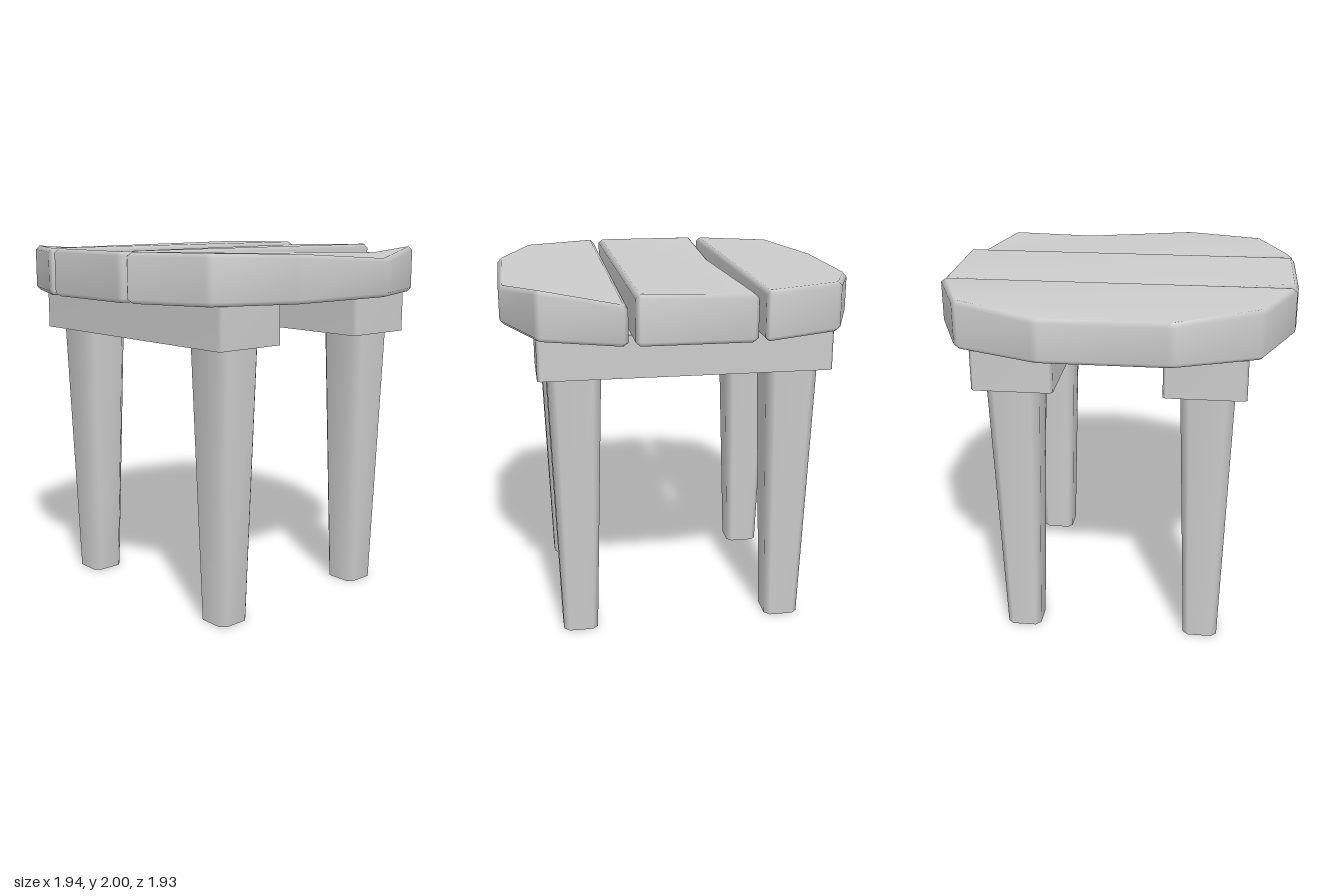
import * as THREE from 'three';

const material = new THREE.MeshStandardMaterial({ color: 0xcccccc });

// Outline ring, inset by `inset`, each corner cut by `cut` along both edges.
// Points are [x, z, topDrop, bottomDrop], counter-clockwise seen from above.
function ring(outline, inset, cut, height) {
  const n = outline.length, result = [];
  const at = (i) => new THREE.Vector2(outline[(i + n) % n][0], -outline[(i + n) % n][1]);
  for (let i = 0; i < n; i++) {
    const p = at(i);
    const d1 = p.clone().sub(at(i - 1)).normalize();
    const d2 = at(i + 1).sub(p).normalize();
    const n1 = new THREE.Vector2(-d1.y, d1.x), n2 = new THREE.Vector2(-d2.y, d2.x);
    const q = p.clone().addScaledVector(n1.clone().add(n2), inset / (1 + n1.dot(n2)));
    const y = height(outline[i]);
    for (const v of [q.clone().addScaledVector(d1, -cut), q.clone().addScaledVector(d2, cut)]) {
      result.push(new THREE.Vector3(v.x, y, -v.y));
    }
  }
  return result;
}

// Closed solid through rings from bottom to top; hard caps get their own vertices
function loft(rings, hardCaps) {
  const n = rings[0].length, last = rings.length - 1;
  const points = rings.flat(), index = [];
  for (let k = 0; k < last; k++) {
    for (let i = 0; i < n; i++) {
      const a = k * n + i, b = k * n + (i + 1) % n;
      index.push(a, b, b + n, a, b + n, a + n);
    }
  }
  for (const [k, top] of [[0, false], [last, true]]) {
    let start = k * n;
    if (hardCaps) {
      start = points.length;
      points.push(...rings[k]);
    }
    const flat = rings[k].map((p) => new THREE.Vector2(p.x, -p.z));
    for (const [a, b, c] of THREE.ShapeUtils.triangulateShape(flat, [])) {
      index.push(start + a, start + (top ? b : c), start + (top ? c : b));
    }
  }
  const geometry = new THREE.BufferGeometry().setFromPoints(points);
  geometry.setIndex(index);
  geometry.computeVertexNormals();
  return geometry;
}

function addMesh(group, name, geometry) {
  const mesh = new THREE.Mesh(geometry, material);
  mesh.name = name;
  group.add(mesh);
  return mesh;
}

// Seat board with softened edges and slightly uneven corners
function plank(outline) {
  const b = 0.022;
  const top = (p) => 2 - (p[2] || 0), bottom = (p) => 1.74 - (p[3] || 0);
  return loft([
    ring(outline, b, b * 0.4, bottom),
    ring(outline, 0, b, (p) => bottom(p) + b),
    ring(outline, 0, b, (p) => top(p) - b),
    ring(outline, b, b * 0.4, top),
  ], false);
}

const rectangle = (w, d) => [[-w, d], [w, d], [w, -d], [-w, -d]];

export function createModel() {
  const stool = new THREE.Group();
  stool.name = 'stool';

  // Seat boards
  addMesh(stool, 'frontPlank', plank([
    [-0.97, 0.34], [-0.79, 0.785, 0.0], [-0.34, 0.965, 0.01],
    [0.34, 0.965, 0.05], [0.79, 0.785], [0.97, 0.34, 0.05],
  ]));
  addMesh(stool, 'middlePlank', plank([
    [-0.97, 0.305], [0.97, 0.305], [0.97, -0.315, 0.015], [-0.3, -0.315, 0.045, 0.04], [-0.97, -0.315],
  ]));
  addMesh(stool, 'backPlank', plank([
    [0.97, -0.35], [0.79, -0.79], [0.34, -0.968, 0.03],
    [-0.34, -0.968, 0.03], [-0.79, -0.79], [-0.97, -0.35],
  ]));

  // Rails under the seat and tapered legs with cut corners
  const rail = loft([1.515, 1.745].map((y) => ring(rectangle(0.217, 0.787), 0, 0.016, () => y)), true);
  const leg = loft([[0, 0.097, 0.03], [1.53, 0.144, 0.045]].map(
    ([y, half, cut]) => ring(rectangle(half, half), 0, cut, () => y)), true);
  for (const [side, x] of [['Left', 0.503], ['Right', -0.503]]) {
    addMesh(stool, 'rail' + side, rail).position.x = x;
    for (const [end, z] of [['front', 0.592], ['back', -0.587]]) {
      addMesh(stool, end + 'Leg' + side, leg).position.set(x + Math.sign(x) * 0.013, 0, z);
    }
  }
  return stool;
}
